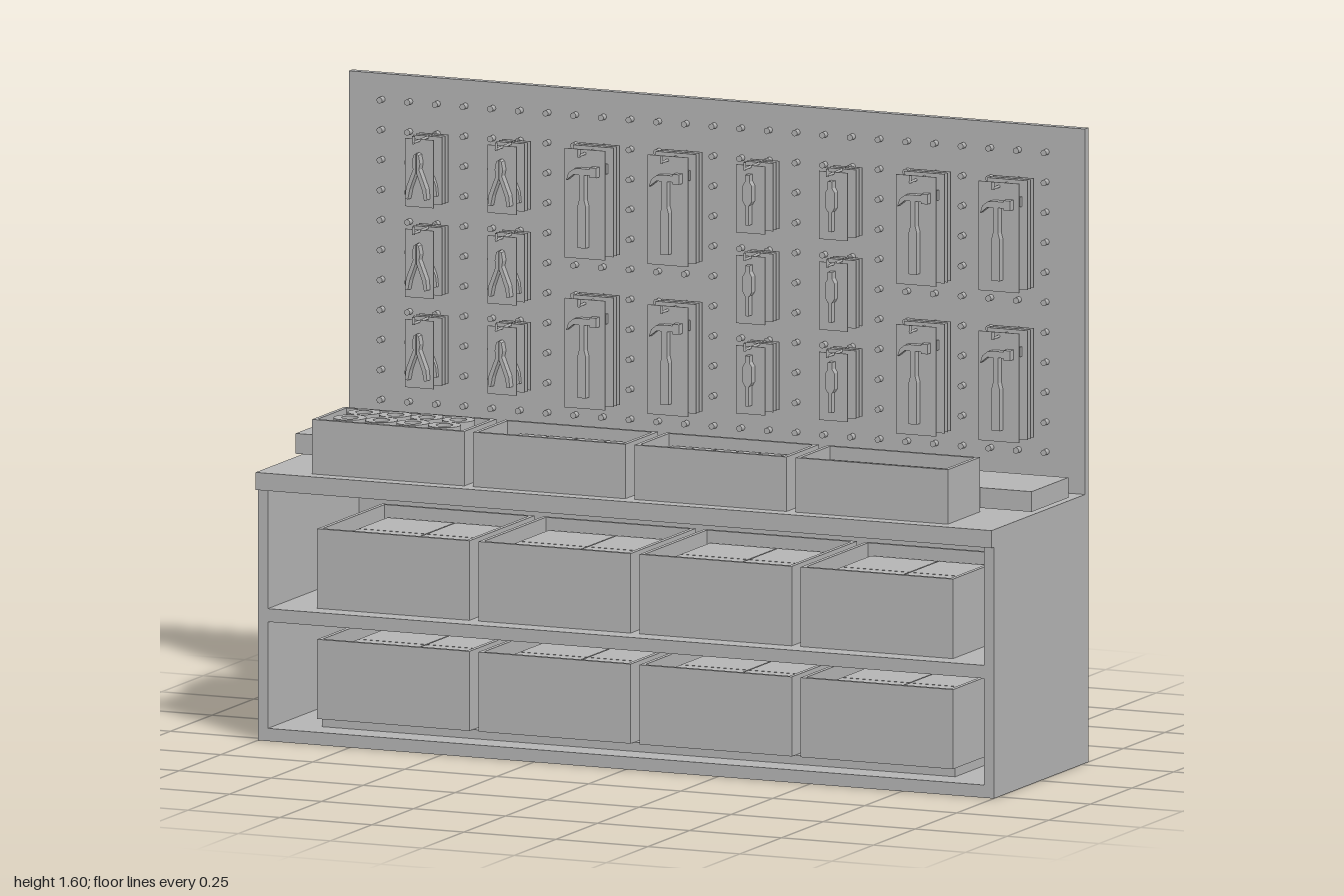
import * as THREE from 'three';

const grey = new THREE.MeshStandardMaterial({ color: 0xb4b4b4 });
grey.name = 'plain grey';

function add(parent, name, geometry, x = 0, y = 0, z = 0) {
  const mesh = new THREE.Mesh(geometry, grey);
  mesh.name = name;
  mesh.position.set(x, y, z);
  parent.add(mesh);
  return mesh;
}

// Box given by its extents on each axis
function slab(parent, name, x0, x1, y0, y1, z0, z1) {
  return add(parent, name, new THREE.BoxGeometry(x1 - x0, y1 - y0, z1 - z0),
    (x0 + x1) / 2, (y0 + y1) / 2, (z0 + z1) / 2);
}

function group(parent, name) {
  const g = new THREE.Group();
  g.name = name;
  parent.add(g);
  return g;
}

const outline = (pts) => new THREE.Shape(pts.map(([x, y]) => new THREE.Vector2(x, y)));
const plate = (shapes, depth) =>
  new THREE.ExtrudeGeometry(shapes, { depth, bevelEnabled: false, curveSegments: 8 });

// Tool silhouettes, measured from the hook (y = 0) downwards
const plierHalf = [[0.001, -0.03], [0.007, -0.034], [0.011, -0.055], [0.008, -0.07],
  [0.016, -0.09], [0.027, -0.118], [0.03, -0.145], [0.022, -0.147], [0.017, -0.122], [0.001, -0.078]];
const toolShapes = {
  pliers: [outline(plierHalf), outline(plierHalf.map(([x, y]) => [-x, y]).reverse())],
  screwdriver: [outline([[-0.006, -0.018], [0.006, -0.018], [0.006, -0.035], [0.012, -0.045], [0.012, -0.085],
    [0.006, -0.095], [0.004, -0.095], [0.004, -0.145], [-0.004, -0.145], [-0.004, -0.095],
    [-0.006, -0.095], [-0.012, -0.085], [-0.012, -0.045], [-0.006, -0.035]])],
  hammer: [outline([[-0.008, -0.035], [0.022, -0.035], [0.022, -0.031], [0.04, -0.031], [0.04, -0.056],
    [0.022, -0.056], [0.022, -0.051], [0.007, -0.051], [0.007, -0.115], [0.011, -0.13], [0.011, -0.235],
    [-0.011, -0.235], [-0.011, -0.13], [-0.007, -0.115], [-0.007, -0.051], [-0.022, -0.051],
    [-0.042, -0.067], [-0.036, -0.048], [-0.022, -0.037]])],
};

// Open-topped bin with four walls and a floor
function bin(parent, name, cx, w, y0, y1, z0, z1) {
  const g = group(parent, name), t = 0.011;
  const x0 = cx - w / 2, x1 = cx + w / 2;
  slab(g, 'binFloor', x0, x1, y0, y0 + t, z0, z1);
  slab(g, 'binFront', x0, x1, y0 + t, y1, z1 - t, z1);
  slab(g, 'binBack', x0, x1, y0 + t, y1, z0, z0 + t);
  slab(g, 'binLeft', x1 - t, x1, y0 + t, y1, z0 + t, z1 - t);
  slab(g, 'binRight', x0, x0 + t, y0 + t, y1, z0 + t, z1 - t);
  return g;
}

// Grid of small boxes packed in a bin
function packBoxes(parent, cols, rows, x0, x1, y0, y1, z0, z1) {
  const dx = (x1 - x0) / cols, dz = (z1 - z0) / rows, gap = 0.0015;
  for (let i = 0; i < cols; i++) {
    for (let j = 0; j < rows; j++) {
      slab(parent, 'packedBox', x0 + i * dx + gap, x0 + (i + 1) * dx - gap, y0, y1,
        z0 + j * dz + gap, z0 + (j + 1) * dz - gap);
    }
  }
}

export function createModel() {
  const model = new THREE.Group();
  model.name = 'toolDisplay';

  // Cabinet
  const cabinet = group(model, 'cabinet');
  for (const s of [-1, 1]) {
    slab(cabinet, 'sidePanel', s < 0 ? -1 : 0.973, s < 0 ? -0.973 : 1, 0, 0.632, -0.27, 0.277);
  }
  slab(cabinet, 'bottomPanel', -0.973, 0.973, 0, 0.032, -0.27, 0.277);
  slab(cabinet, 'shelf', -0.973, 0.973, 0.3, 0.333, -0.27, 0.277);
  slab(cabinet, 'worktop', -1, 1, 0.632, 0.676, -0.27, 0.291);
  slab(cabinet, 'rearLedge', -1, 1, 0.684, 0.735, -0.17, 0.05);
  slab(model, 'backBoard', -1, 1, 0, 1.595, -0.291, -0.27);

  // Bins on the worktop and the two shelves
  const binX = [-0.657, -0.219, 0.219, 0.657];
  const layouts = [null, [4, 3, 0.158, 0.077], [6, 2, 0.182, 0.077], [4, 2, 0.182, 0.062]];
  const ring = new THREE.Shape().absarc(0, 0, 0.041, 0, Math.PI * 2, false);
  ring.holes.push(new THREE.Path().absarc(0, 0, 0.021, 0, Math.PI * 2, true));
  const rollGeometry = new THREE.ExtrudeGeometry(ring, { depth: 0.125, bevelEnabled: false, curveSegments: 12 });
  rollGeometry.rotateX(-Math.PI / 2);
  binX.forEach((x, k) => {
    const top = bin(model, 'worktopBin', x, 0.414, 0.676, 0.813, 0.059, 0.253);
    if (k === 0) {
      for (let i = 0; i < 4; i++) {
        for (const z of [0.114, 0.198]) add(top, 'roll', rollGeometry, x + (i - 1.5) * 0.0855, 0.69, z);
      }
    } else {
      const [cols, rows, hx, hz] = layouts[k];
      packBoxes(top, cols, rows, x - hx, x + hx, 0.688, 0.785, 0.156 - hz, 0.156 + hz);
    }
    for (const [y0, y1] of [[0.333, 0.533], [0.055, 0.255]]) {
      const low = bin(model, 'shelfBin', x, 0.414, y0, y1, -0.17, 0.222);
      packBoxes(low, 2, 2, x - 0.185, x + 0.185, y0 + 0.012, y1 - 0.03, -0.15, 0.2);
    }
  });
  // Runners that carry the lower bins
  slab(cabinet, 'binRunner', -0.86, 0.86, 0.032, 0.055, -0.16, 0.2);

  // Peg grid
  const pegs = group(model, 'pegs');
  const pegGeometry = new THREE.CylinderGeometry(0.008, 0.008, 0.02, 8).rotateX(Math.PI / 2);
  for (let i = 0; i < 25; i++) {
    for (let j = 0; j < 12; j++) {
      add(pegs, 'peg', pegGeometry, (i - 12) * 0.0752 - 0.007, 1.53 - j * 0.0754, -0.262);
    }
  }

  // Hooks with hanging carded tools
  const rod = new THREE.CylinderGeometry(0.0035, 0.0035, 0.145, 8).rotateX(Math.PI / 2);
  const tip = new THREE.CylinderGeometry(0.0035, 0.0035, 0.02, 8);
  const cards = [-0.249, -0.231, -0.213, -0.163];
  const kinds = ['pliers', 'pliers', 'hammer', 'hammer', 'screwdriver', 'screwdriver', 'hammer', 'hammer'];
  const looks = {};
  for (const kind of Object.keys(toolShapes)) {
    looks[kind] = [plate(toolShapes[kind], 0.011), plate(toolShapes[kind], 0.02)];
  }
  kinds.forEach((kind, i) => {
    const x = -0.76 + i * 0.225;
    const big = kind === 'hammer';
    const w = big ? 0.055 : 0.039, drop = big ? 0.265 : 0.168;
    for (const y of big ? [1.455, 1.078] : [1.455, 1.227, 1.0]) {
      const hung = group(model, kind + 'Hook');
      add(hung, 'hookRod', rod, x, y, -0.1975);
      add(hung, 'hookTip', tip, x, y + 0.0065, -0.127);
      cards.forEach((z, k) => {
        slab(hung, 'card', x - w, x + w, y - drop, y + (big ? 0.01 : 0.003), z - 0.0015, z + 0.0015);
        add(hung, kind, looks[kind][k === 3 ? 1 : 0], x, y, z + 0.0015);
      });
    }
  });

  return model;
}
